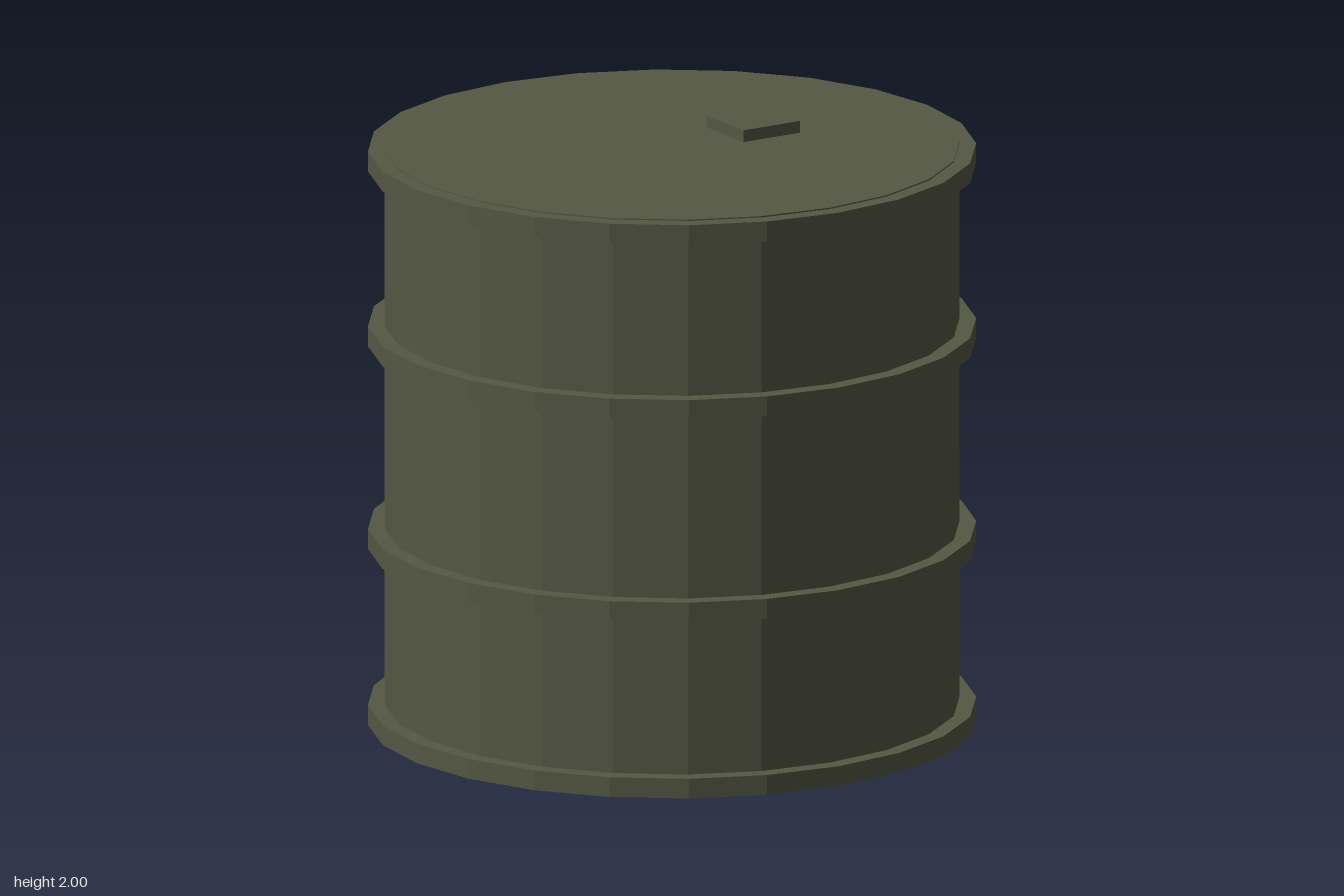
import * as THREE from 'three';

export function createModel() {
  const model = new THREE.Group();
  const olive = new THREE.MeshStandardMaterial({ color: 0x555843, flatShading: true });
  olive.name = 'olive paint';

  const SIDES = 24;
  function add(name, geometry, x, y, z) {
    const mesh = new THREE.Mesh(geometry, olive);
    mesh.name = name;
    mesh.position.set(x, y, z);
    model.add(mesh);
  }

  // Drum body, a touch taller than the outer hoops
  const bodyHeight = 1.96;
  add('drumBody', new THREE.CylinderGeometry(0.945, 0.945, bodyHeight, SIDES), 0, bodyHeight / 2, 0);

  // Raised hoops: bottom rim, two rolling hoops, top rim
  const hoopHeight = 0.067;
  const hoop = new THREE.CylinderGeometry(1, 1, hoopHeight, SIDES);
  const hoopNames = ['bottomRim', 'lowerHoop', 'upperHoop', 'topRim'];
  [0.042, 0.64, 1.328, 1.922].forEach((y, i) => add(hoopNames[i], hoop, 0, y, 0));

  // Square filler cap on the lid
  add('fillerCap', new THREE.BoxGeometry(0.22, 0.06, 0.22), 0.335, 1.97, -0.024);

  return model;
}
